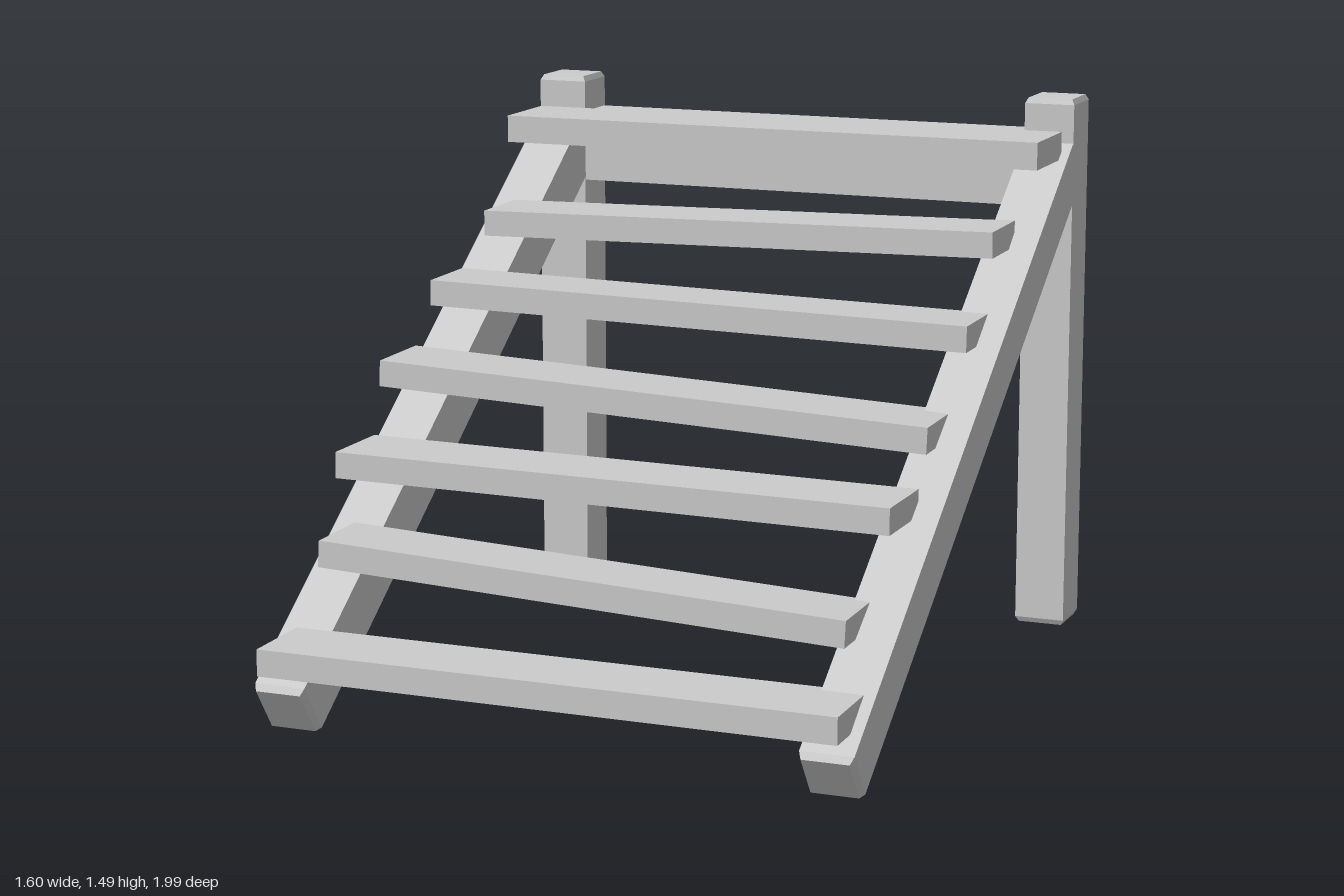
import * as THREE from 'three';

const material = new THREE.MeshStandardMaterial({ color: 0xcccccc, flatShading: true });

// Rectangular timber with small chamfers at both ends, running along +z from 0 to length
function timber(width, height, length, chamfer = 0.015, inset = 0.008) {
  const w = width / 2 - inset, h = height / 2 - inset;
  const shape = new THREE.Shape([
    new THREE.Vector2(-w, -h), new THREE.Vector2(w, -h),
    new THREE.Vector2(w, h), new THREE.Vector2(-w, h),
  ]);
  const geometry = new THREE.ExtrudeGeometry(shape, {
    depth: length - 2 * chamfer, bevelEnabled: true,
    bevelThickness: chamfer, bevelSize: inset, bevelSegments: 1,
  });
  return geometry.translate(0, 0, chamfer);
}

function add(group, name, geometry) {
  const mesh = new THREE.Mesh(geometry, material);
  mesh.name = name;
  group.add(mesh);
  return mesh;
}

export function createModel() {
  const model = new THREE.Group();
  model.name = 'rampLadder';

  // Upright posts and sloping stringers, one pair per side
  const slope = Math.atan(0.697);
  for (const [side, sign, depth] of [['left', 1, 0.142], ['right', -1, 0.154]]) {
    const post = add(model, side + 'Post', timber(0.14, 0.145, 1.49));
    post.rotation.x = -Math.PI / 2;
    post.position.set(sign * 0.73, 0, -0.9275);

    const stringer = add(model, side + 'Stringer', timber(0.14, depth, 2.2, 0.02));
    // Lower edges are shared, so offset the axis by half the depth
    stringer.position.set(sign * 0.73, 0.005 + Math.cos(slope) * depth / 2, 0.857 + Math.sin(slope) * depth / 2);
    stringer.rotation.set(slope, Math.PI, 0);
    stringer.rotation.order = 'XYZ';
  }

  // Rail joining the posts at the back
  add(model, 'backRail', new THREE.BoxGeometry(1.36, 0.2, 0.139)).position.set(0, 1.29, -0.927);

  // Uneven treads: [x, y, z] at the centre of each end, then depth
  const treads = [
    [[-0.76, 0.217, 0.882], [0.77, 0.205, 0.853], 0.225],
    [[-0.71, 0.445, 0.645], [0.70, 0.37, 0.615], 0.208],
    [[-0.797, 0.611, 0.363], [0.73, 0.597, 0.363], 0.225],
    [[-0.80, 0.806, 0.098], [0.725, 0.74, 0.068], 0.225],
    [[-0.787, 0.977, -0.185], [0.735, 0.95, -0.213], 0.21],
    [[-0.733, 1.138, -0.422], [0.728, 1.16, -0.452], 0.215],
    [[-0.778, 1.367, -0.695], [0.776, 1.367, -0.704], 0.237],
  ];
  treads.forEach(([a, b, depth], i) => {
    const start = new THREE.Vector3(...a), end = new THREE.Vector3(...b);
    const d = end.clone().sub(start);
    const tread = add(model, 'tread' + (i + 1), new THREE.BoxGeometry(d.length(), i === 6 ? 0.075 : 0.07, depth));
    tread.position.copy(start).add(end).multiplyScalar(0.5);
    tread.rotation.order = 'YZX';
    tread.rotation.y = Math.atan2(-d.z, d.x);
    tread.rotation.z = Math.atan2(d.y, Math.hypot(d.x, d.z));
  });

  return model;
}
